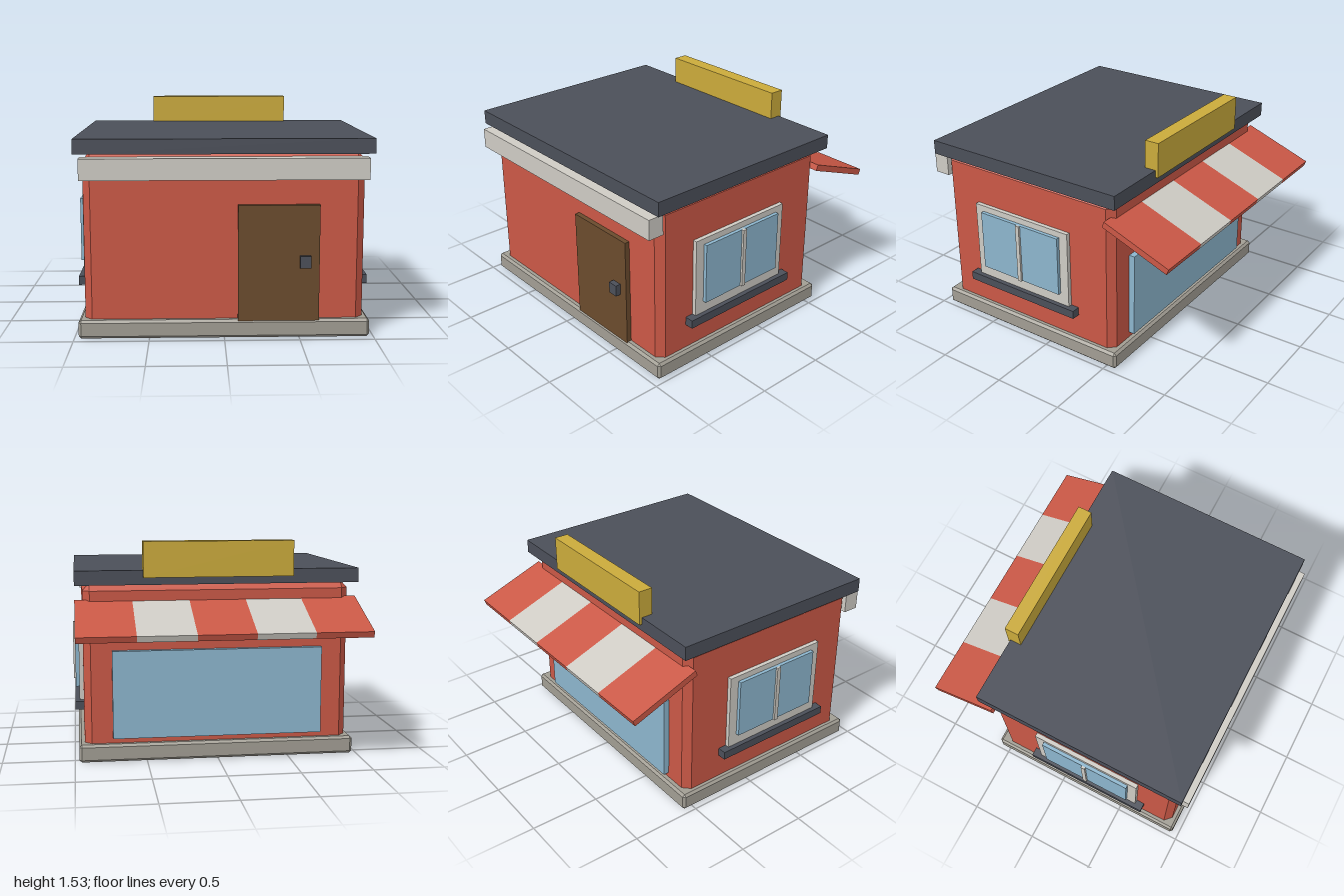
import * as THREE from 'three';
import { ConvexGeometry } from 'three/addons/geometries/ConvexGeometry.js';

const material = (name, color) => {
  const m = new THREE.MeshStandardMaterial({ color });
  m.name = name;
  return m;
};

// Box with every edge cut at 45 degrees, given by its min and max corners
function chamferedBox(min, max, cut) {
  const points = [];
  for (let i = 0; i < 8; i++) {
    for (let full = 0; full < 3; full++) {
      const p = [0, 1, 2].map((a) => {
        const high = (i >> a) & 1;
        const inset = a === full ? 0 : cut;
        return high ? max[a] - inset : min[a] + inset;
      });
      points.push(new THREE.Vector3(...p));
    }
  }
  return new ConvexGeometry(points);
}

export function createModel() {
  const red = material('brick red', 0xca5846);
  const cream = material('off white', 0xcecbc4);
  const stone = material('stone grey', 0xa19d93);
  const slate = material('slate', 0x4b4f59);
  const glass = material('glass blue', 0x8cb5cd);
  const wood = material('door brown', 0x6a4b2d);
  const yellow = material('sign yellow', 0xcaaa3b);

  const model = new THREE.Group();
  model.name = 'shop';

  const add = (name, geometry, mat, parent = model) => {
    const mesh = new THREE.Mesh(geometry, mat);
    mesh.name = name;
    parent.add(mesh);
    return mesh;
  };
  // Plain box from ranges along x, y and z
  const box = (name, mat, [x0, x1], [y0, y1], [z0, z1], parent) => {
    const mesh = add(name, new THREE.BoxGeometry(x1 - x0, y1 - y0, z1 - z0), mat, parent);
    mesh.position.set((x0 + x1) / 2, (y0 + y1) / 2, (z0 + z1) / 2);
    return mesh;
  };

  // Walls and plinth
  add('walls', chamferedBox([-0.93, 0, -0.535], [0.93, 1.24, 0.907], 0.049), red);
  add('plinth', chamferedBox([-0.97, 0.002, -0.58], [0.97, 0.126, 0.95], 0.017), stone);

  // Roof, fascia above the door, and rooftop sign board
  box('roof', slate, [-0.983, 0.983], [1.235, 1.335], [-0.592, 0.958]);
  box('fascia', cream, [-0.942, 0.942], [1.07, 1.212], [0.885, 1]);
  box('signBoard', yellow, [-0.518, 0.518], [1.285, 1.53], [-0.612, -0.51]);

  // Door with its handle
  box('door', wood, [0.09, 0.63], [0.115, 0.897], [0.88, 0.942]);
  box('doorHandle', slate, [0.498, 0.57], [0.48, 0.56], [0.94, 0.98]);

  // Shop window on the back wall
  box('shopWindow', glass, [-0.735, 0.735], [0.165, 0.78], [-0.577, -0.5]);

  // Side windows, mirrored left and right
  for (const side of [1, -1]) {
    const sideWindow = new THREE.Group();
    sideWindow.name = side > 0 ? 'leftWindow' : 'rightWindow';
    model.add(sideWindow);
    const out = (a, b) => (side > 0 ? [a, b] : [-b, -a]);
    box('frame', cream, out(0.9, 0.96), [0.335, 0.928], [-0.187, 0.62], sideWindow);
    box('pane', glass, out(0.92, 0.985), [0.45, 0.885], [-0.12, 0.552], sideWindow);
    box('mullion', cream, out(0.92, 1), [0.45, 0.885], [0.2, 0.23], sideWindow);
    box('sill', slate, out(0.9, 0.992), [0.305, 0.365], [-0.248, 0.68], sideWindow);
  }

  // Striped awning sloping down behind the shop
  const awning = new THREE.Group();
  awning.name = 'awning';
  awning.position.set(0, 1.018, -0.746);
  awning.rotation.x = -0.36;
  model.add(awning);
  const stripe = 0.3932;
  for (let i = 0; i < 5; i++) {
    const x = (i - 2.5) * stripe;
    box('awningStripe', i % 2 ? cream : red, [x, x + stripe], [-0.022, 0.022], [-0.262, 0.262], awning);
  }

  return model;
}
